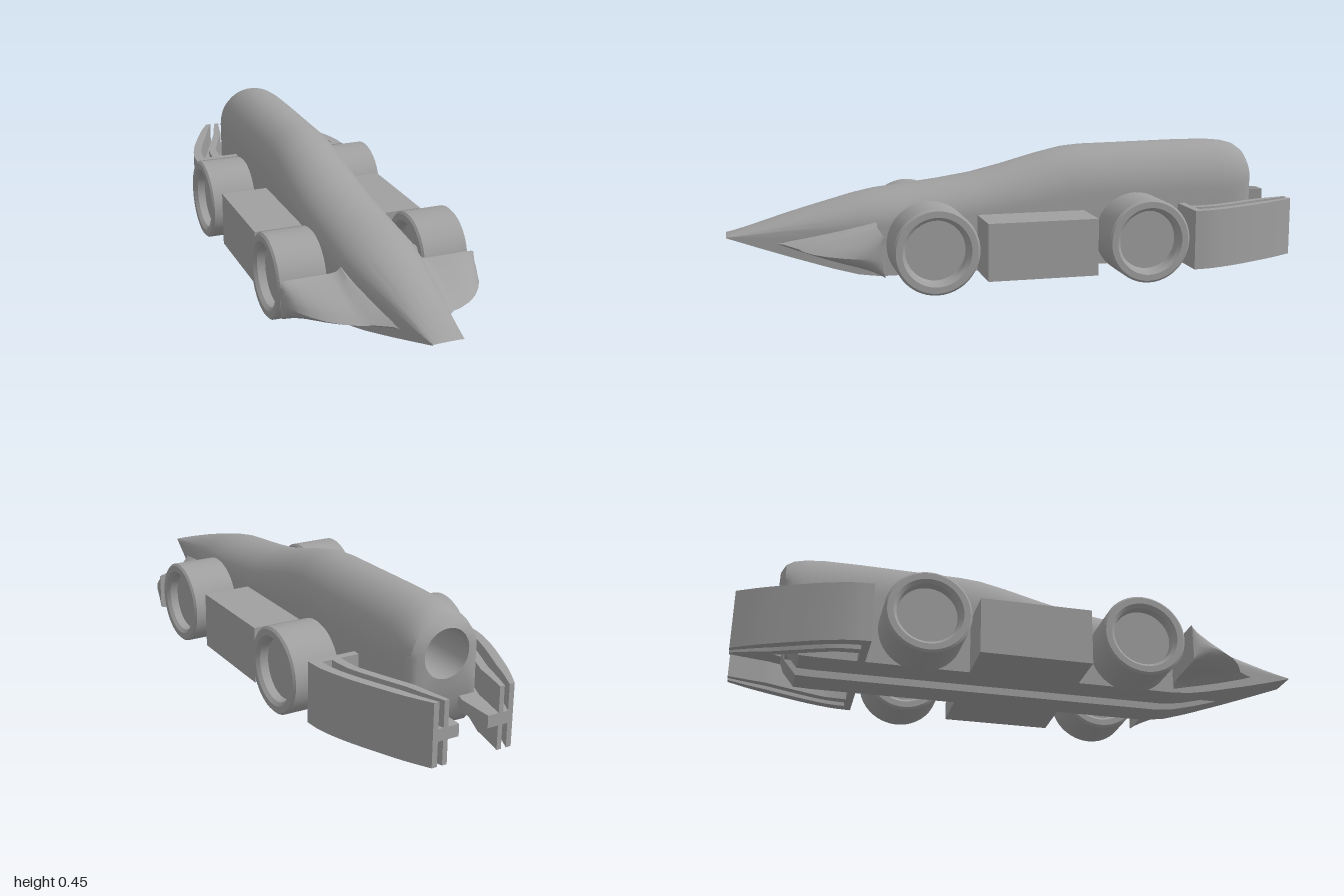
import * as THREE from 'three';
import { toCreasedNormals } from 'three/addons/utils/BufferGeometryUtils.js';

const V = (x, y, z) => new THREE.Vector3(x, y, z);

// Skin closed loops of points into a surface; optional end caps.
function loft(rings, capStart, capEnd, crease = 0.6) {
  const pos = [];
  const tri = (...p) => p.forEach((v) => pos.push(v.x, v.y, v.z));
  const n = rings[0].length;
  const middle = (r) => r.reduce((s, p) => s.add(p), V(0, 0, 0)).divideScalar(n);
  for (let i = 0; i + 1 < rings.length; i++) {
    for (let j = 0; j < n; j++) {
      const k = (j + 1) % n, A = rings[i], B = rings[i + 1];
      tri(A[j], B[j], A[k]);
      tri(A[k], B[j], B[k]);
    }
  }
  const first = rings[0], last = rings[rings.length - 1];
  for (let j = 0; j < n; j++) {
    const k = (j + 1) % n;
    if (capStart) tri(middle(first), first[j], first[k]);
    if (capEnd) tri(middle(last), last[k], last[j]);
  }
  const g = new THREE.BufferGeometry();
  g.setAttribute('position', new THREE.Float32BufferAttribute(pos, 3));
  return toCreasedNormals(g, crease);
}

// Mirror a geometry across x = 0, keeping faces outward.
function mirrored(geo) {
  const g = geo.index ? geo.toNonIndexed() : geo.clone();
  g.scale(-1, 1, 1);
  for (const a of Object.values(g.attributes)) {
    const s = a.itemSize;
    for (let t = 0; t < a.count; t += 3) {
      for (let c = 0; c < s; c++) {
        const p = (t + 1) * s + c, q = (t + 2) * s + c;
        [a.array[p], a.array[q]] = [a.array[q], a.array[p]];
      }
    }
  }
  return g;
}

// Body cross-section: flat grooved underside, straight sides, domed top.
function bodyRing(z, yt, yb, w) {
  const groove = Math.max(yb, 0.085), gx = 0.03;
  const ys = yb + (yt - yb) * 0.6;
  const half = [[0, groove], [gx, groove], [gx, yb]];
  for (let i = 1; i <= 3; i++) half.push([gx + (w - gx) * i / 3, yb]);
  for (let i = 1; i <= 4; i++) half.push([w, yb + (ys - yb) * i / 4]);
  for (let i = 1; i <= 14; i++) {
    const a = (i / 14) * Math.PI / 2;
    half.push([i === 14 ? 0 : w * Math.cos(a), ys + (yt - ys) * Math.sin(a)]);
  }
  const other = half.slice(1, -1).reverse().map(([x, y]) => [-x, y]);
  return half.concat(other).map(([x, y]) => V(x, y, z));
}

function bodyGeometry() {
  // z, top, bottom, half width
  const rings = [
    [1, 0.172, 0.168, 0.05], [0.9, 0.204, 0.135, 0.067], [0.8, 0.235, 0.103, 0.085],
    [0.74, 0.252, 0.085, 0.097], [0.65, 0.276, 0.058, 0.113], [0.57, 0.297, 0.038, 0.127],
    [0.5, 0.311, 0.03, 0.136], [0.4, 0.322, 0.03, 0.137], [0.28, 0.336, 0.03, 0.137],
    [0.16, 0.354, 0.03, 0.137], [0.05, 0.38, 0.03, 0.137], [-0.08, 0.415, 0.03, 0.137],
    [-0.17, 0.435, 0.03, 0.137], [-0.24, 0.441, 0.03, 0.137], [-0.4, 0.443, 0.03, 0.137],
    [-0.6, 0.446, 0.03, 0.137], [-0.72, 0.445, 0.03, 0.137], [-0.78, 0.439, 0.032, 0.136],
    [-0.82, 0.428, 0.08, 0.13], [-0.845, 0.41, 0.15, 0.118], [-0.855, 0.39, 0.2, 0.102],
  ].map((r) => bodyRing(...r));
  // round bore in the tail
  const cy = 0.305, r = 0.08;
  const rim = rings[rings.length - 1].map((p) => {
    const a = Math.atan2(p.y - cy, p.x);
    return V(r * Math.cos(a), cy + r * Math.sin(a), -0.86);
  });
  rings.push(rim, rim.map((p) => V(p.x, p.y, -0.45)));
  return loft(rings, false, true);
}

// Front wing: wedge sections from the nose out to the tip.
function frontWingGeometry() {
  // x, leading z, leading y, top, bottom
  const rows = [
    [0.06, 0.87, 0.15, 0.21, 0.04], [0.09, 0.815, 0.145, 0.215, 0.04],
    [0.135, 0.768, 0.136, 0.216, 0.045], [0.15, 0.76, 0.133, 0.203, 0.062],
    [0.17, 0.75, 0.132, 0.2, 0.067], [0.21, 0.725, 0.131, 0.2, 0.068],
    [0.25, 0.69, 0.131, 0.2, 0.068], [0.285, 0.645, 0.131, 0.2, 0.068],
    [0.312, 0.6, 0.131, 0.2, 0.068], [0.328, 0.56, 0.131, 0.199, 0.069],
    [0.335, 0.53, 0.131, 0.195, 0.073],
  ];
  const n = 8;
  return loft(rows.map(([x, zl, yl, up, low]) => {
    const at = (t, y) => V(x, yl + (y - yl) * t ** 0.8, zl + (0.51 - zl) * t);
    const ring = [];
    for (let i = 0; i <= n; i++) ring.push(at(i / n, up));
    for (let i = n; i > 0; i--) ring.push(at(i / n, low));
    return ring;
  }), true, true);
}

// Rear wing strip: a fraction s0..s1 of the swept plan, from z0 back to the tail.
const outerEdge = new THREE.CatmullRomCurve3(
  [[0.303, 0.565], [0.297, 0.63], [0.272, 0.72], [0.232, 0.82], [0.187, 0.92], [0.143, 1]]
    .map(([x, d]) => V(x, d, 0)));
function rearStrip(s0, s1, y0, y1, from = 0, to = 1) {
  const n = 20, a = [], b = [];
  for (let i = 0; i <= n; i++) {
    const p = outerEdge.getPoint(from + (to - from) * i / n);
    const inner = p.y > 0.87 ? 0.052 : 0.052 + 0.078 * Math.min(1, (0.87 - p.y) / 0.2);
    a.push(new THREE.Vector2(inner + (p.x - inner) * s0, p.y));
    b.push(new THREE.Vector2(inner + (p.x - inner) * s1, p.y));
  }
  const g = new THREE.ExtrudeGeometry(new THREE.Shape(a.concat(b.reverse())),
    { depth: y1 - y0, bevelEnabled: false });
  g.rotateX(-Math.PI / 2).translate(0, y0, 0);
  return toCreasedNormals(g, 0.5);
}

// Wheel: tyre with a bevelled, recessed hub on both faces.
function wheelGeometry() {
  const half = [[0.1435, 0.076], [0.136, 0.083], [0.115, 0.083], [0.104, 0.072], [0.1, 0.045], [0, 0.045]];
  const profile = half.map(([r, y]) => [r, -y]).reverse().concat(half)
    .map(([r, y]) => new THREE.Vector2(r, y));
  const g = new THREE.LatheGeometry(profile, 48);
  g.rotateZ(-Math.PI / 2);
  return toCreasedNormals(g, 0.6);
}

export function createModel() {
  const model = new THREE.Group();
  model.name = 'racingCar';
  const grey = new THREE.MeshStandardMaterial({ color: 0xa0a0a0 });
  grey.name = 'grey';

  const add = (name, geo) => {
    const m = new THREE.Mesh(geo, grey);
    m.name = name;
    model.add(m);
  };
  const addPair = (name, geo) => {
    add(name + 'Left', geo);
    add(name + 'Right', mirrored(geo));
  };

  add('body', bodyGeometry());
  addPair('frontWing', frontWingGeometry());

  // side pods
  addPair('sidePod', new THREE.BoxGeometry(0.18, 0.195, 0.38).translate(0.216, 0.1275, -0.025));

  // wheels and stub axles
  for (const [name, z] of [['front', 0.34], ['rear', -0.39]]) {
    addPair(name + 'Wheel', wheelGeometry().translate(0.2505, 0.1435, z));
    addPair(name + 'Axle', new THREE.CylinderGeometry(0.027, 0.027, 0.1, 24)
      .rotateZ(Math.PI / 2).translate(0.17, 0.1435, z));
  }

  // rear wings: front block, two upright blades and the floor joining them
  addPair('rearWingBlock', rearStrip(0, 1, 0.03, 0.235, 0, 0.08));
  addPair('rearWingOuterBlade', rearStrip(0.8, 1, 0.03, 0.235));
  addPair('rearWingInnerBlade', rearStrip(0.42, 0.6, 0.03, 0.235));
  addPair('rearWingFloor', rearStrip(0, 0.9, 0.11, 0.15));

  return model;
}
